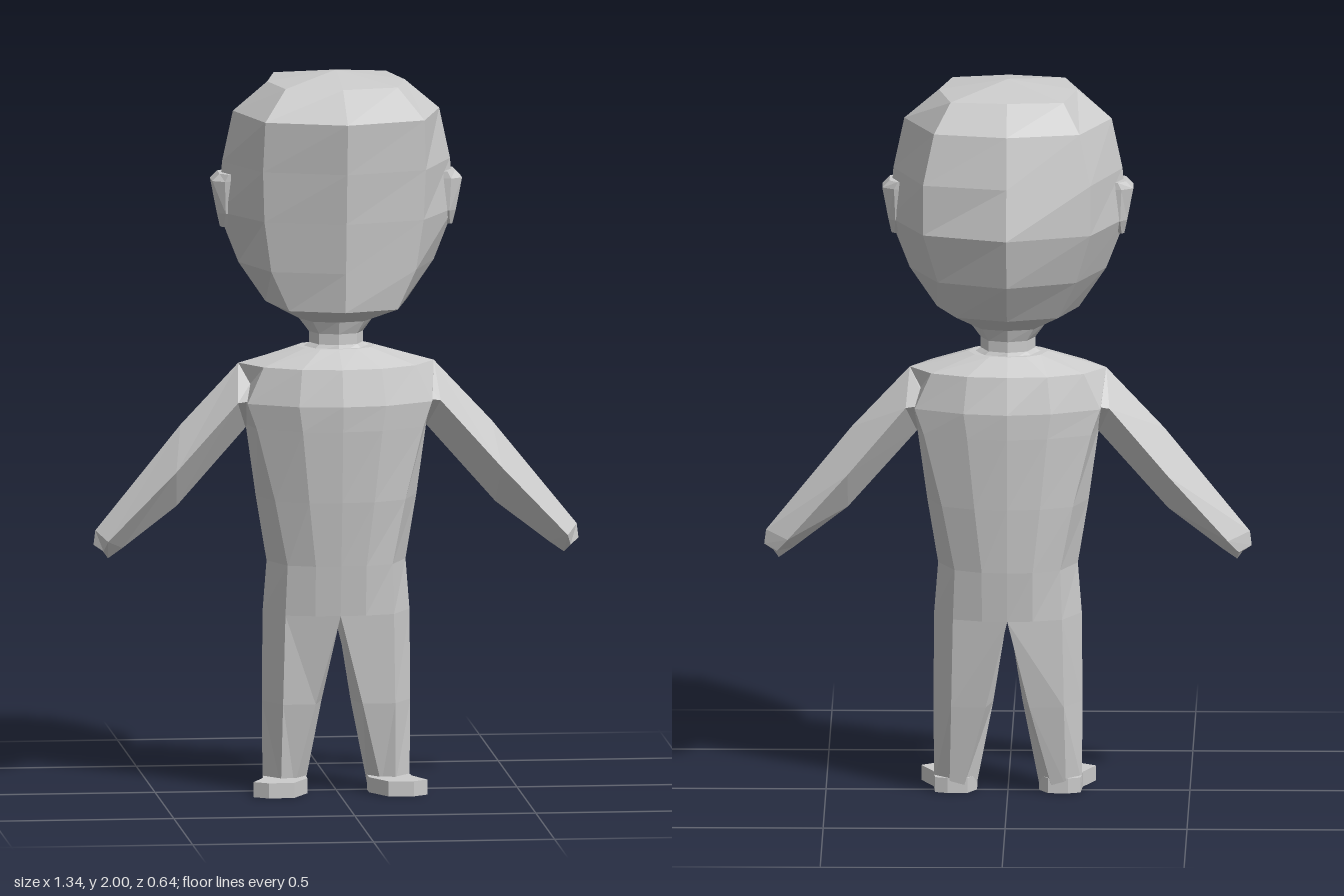
import * as THREE from 'three';

const material = new THREE.MeshStandardMaterial({ color: 0xcccccc, flatShading: true });

// Skin a list of rings (each ring [x,y,z] points, counter-clockwise about the loft direction), closing both ends.
function loft(rings, mirror = false, tip = null) {
  const pos = [];
  const tri = (a, b, c) => {
    for (const p of mirror ? [a, c, b] : [a, b, c]) pos.push(mirror ? -p[0] : p[0], p[1], p[2]);
  };
  const centre = (r) => [0, 1, 2].map((k) => r.reduce((s, p) => s + p[k], 0) / r.length);
  const n = rings[0].length;
  const first = rings[0], last = rings[rings.length - 1];
  const c0 = centre(first), c1 = tip || centre(last);
  for (let j = 0; j < n; j++) {
    const k = (j + 1) % n;
    for (let i = 0; i + 1 < rings.length; i++) {
      const a = rings[i], b = rings[i + 1];
      tri(a[j], a[k], b[k]);
      tri(a[j], b[k], b[j]);
    }
    tri(c0, first[k], first[j]);
    tri(c1, last[j], last[k]);
  }
  const g = new THREE.BufferGeometry();
  g.setAttribute('position', new THREE.Float32BufferAttribute(pos, 3));
  g.computeVertexNormals();
  return g;
}

// Full symmetric ring at height y from half-profile [x,z] points running front to back.
function symRing(y, half) {
  const right = half.map(([x, z]) => [x, y, z]);
  const left = half.slice(1, -1).reverse().map(([x, z]) => [-x, y, z]);
  return [...right, ...left];
}

const flatRing = (y, pts) => pts.map(([x, z]) => [x, y, z]);

export function createModel() {
  const group = new THREE.Group();
  const add = (name, geometry) => {
    const m = new THREE.Mesh(geometry, material);
    m.name = name;
    group.add(m);
  };

  // Head: y, front z, front edge x/z, side x, back edge x/z, back z
  const head = [
    [1.31, 0.09, 0.07, 0.07, 0.10, 0.07, -0.07, -0.09],
    [1.36, 0.255, 0.15, 0.20, 0.195, 0.14, -0.15, -0.20],
    [1.47, 0.268, 0.20, 0.205, 0.27, 0.19, -0.20, -0.28],
    [1.61, 0.285, 0.22, 0.215, 0.325, 0.23, -0.235, -0.32],
    [1.75, 0.303, 0.225, 0.225, 0.315, 0.23, -0.235, -0.293],
    [1.89, 0.32, 0.22, 0.24, 0.285, 0.20, -0.215, -0.26],
    [1.97, 0.19, 0.155, 0.155, 0.19, 0.155, -0.17, -0.185],
  ];
  add('head', loft(head.map(([y, f, fx, fz, sx, bx, bz, b]) =>
    symRing(y, [[0, f], [fx, fz], [sx, 0], [bx, bz], [0, b]])), false, [0, 2, 0]));

  // Neck: height, half width, half depth
  add('neck', loft([[1.22, 0.11, 0.085], [1.245, 0.075, 0.075], [1.275, 0.075, 0.075], [1.315, 0.105, 0.09]]
    .map(([y, w, d]) => symRing(y, [[0, d], [w * 0.7, d * 0.75], [w, 0], [w * 0.7, -d * 0.75], [0, -d]]))));

  // Torso: y, front z, front panel x/z, front edge x/z, side x, back edge z, back panel z, back z
  const torso = [
    [0.50, 0.125, 0.07, 0.122, 0.15, 0.10, 0.203, -0.10, -0.125, -0.13],
    [0.64, 0.145, 0.07, 0.14, 0.145, 0.11, 0.192, -0.105, -0.14, -0.147],
    [0.82, 0.17, 0.09, 0.162, 0.18, 0.115, 0.222, -0.11, -0.15, -0.16],
    [1.02, 0.192, 0.11, 0.18, 0.23, 0.11, 0.25, -0.10, -0.155, -0.173],
    [1.09, 0.198, 0.12, 0.183, 0.255, 0.105, 0.27, -0.09, -0.155, -0.175],
    [1.19, 0.175, 0.11, 0.16, 0.21, 0.10, 0.27, -0.09, -0.135, -0.145],
    [1.235, 0.085, 0.05, 0.08, 0.09, 0.05, 0.11, -0.05, -0.08, -0.085],
  ];
  add('torso', loft(torso.map(([y, f, px, pz, ex, ez, sx, bz, qz, b]) =>
    symRing(y, [[0, f], [px, pz], [ex, ez], [sx, 0], [ex, bz], [px, qz], [0, b]]))));

  // Arm: diamond sections as top, front, bottom, back
  const arm = [
    [[0.20, 1.19, 0], [0.22, 1.10, 0.10], [0.20, 1.02, 0], [0.22, 1.10, -0.085]],
    [[0.27, 1.19, 0], [0.28, 1.09, 0.09], [0.25, 1.01, 0], [0.28, 1.09, -0.08]],
    [[0.43, 1.02, 0], [0.45, 0.90, 0.088], [0.44, 0.795, 0], [0.44, 0.90, -0.075]],
    [[0.665, 0.73, 0], [0.635, 0.705, 0.055], [0.59, 0.68, 0], [0.605, 0.71, -0.045]],
    [[0.67, 0.69, 0], [0.645, 0.675, 0.028], [0.63, 0.652, 0], [0.635, 0.675, -0.025]],
  ];

  // Leg: sections from ankle to crotch
  const leg = [
    flatRing(0.02, [[0.12, 0.05], [0.158, 0.058], [0.203, 0], [0.16, -0.045], [0.12, -0.045], [0.085, 0]]),
    flatRing(0.25, [[0.065, 0.085], [0.155, 0.085], [0.205, 0], [0.155, -0.085], [0.06, -0.09], [0.04, 0]]),
    flatRing(0.50, [[0, 0.125], [0.15, 0.10], [0.203, 0], [0.15, -0.10], [0, -0.13], [0, 0]]),
  ];

  // Foot: thin slab with the toes turned outward
  const sole = [[0.13, 0.145], [0.20, 0.15], [0.24, 0.12], [0.205, 0.04], [0.20, -0.035], [0.165, -0.048],
    [0.11, -0.045], [0.085, 0], [0.085, 0.06]];

  // Ear: height, inner x, outer x, half depth
  const ear = [[1.57, 0.305, 0.32, 0.02], [1.61, 0.29, 0.328, 0.045], [1.70, 0.28, 0.345, 0.055], [1.72, 0.28, 0.325, 0.055]]
    .map(([y, a, b, d]) => flatRing(y, [[a, d], [(a + b) / 2, d], [b, d * 0.6], [b, -d * 0.6], [(a + b) / 2, -d], [a, -d]]));

  for (const [side, mirror] of [['left', false], ['right', true]]) {
    add(side + 'Arm', loft(arm, mirror));
    add(side + 'Leg', loft(leg, mirror));
    add(side + 'Foot', loft([flatRing(0, sole), flatRing(0.042, sole)], mirror));
    add(side + 'Ear', loft(ear, mirror));
  }
  return group;
}
